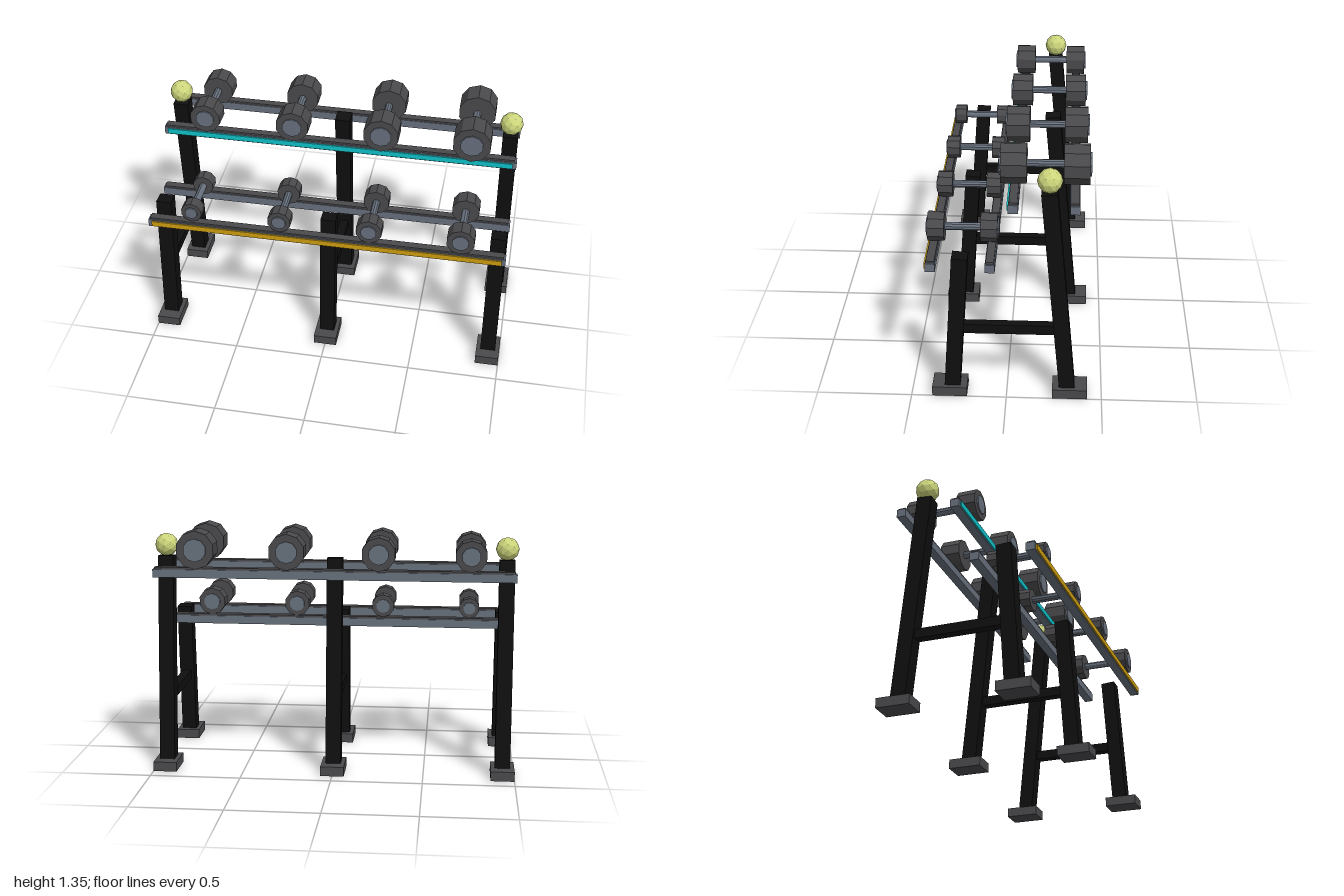
import * as THREE from 'three';

const mat = (name, color) => {
  const m = new THREE.MeshStandardMaterial({ color, flatShading: true });
  m.name = name;
  return m;
};

export function createModel() {
  const black = mat('blackFrame', 0x0f0f0f);
  const rubber = mat('darkRubber', 0x4a4a4d);
  const steel = mat('blueGreySteel', 0x68717e);
  const cyan = mat('cyanStripe', 0x10c4cc);
  const amber = mat('amberStripe', 0xcf9f10);
  const lime = mat('paleLime', 0xcdd67c);

  const root = new THREE.Group();
  root.name = 'dumbbellRack';

  const add = (parent, name, geometry, material, x, y, z) => {
    const mesh = new THREE.Mesh(geometry, material);
    mesh.name = name;
    mesh.position.set(x, y, z);
    parent.add(mesh);
    return mesh;
  };
  const group = (name) => {
    const g = new THREE.Group();
    g.name = name;
    root.add(g);
    return g;
  };
  const box = (w, h, d) => new THREE.BoxGeometry(w, h, d);

  // Leaning leg between two points in the y-z plane
  const leg = (parent, name, y0, z0, y1, z1) => {
    const mesh = add(parent, name, box(0.084, Math.hypot(y1 - y0, z1 - z0), 0.082), black,
      0, (y0 + y1) / 2, (z0 + z1) / 2);
    mesh.rotation.x = Math.atan2(z1 - z0, y1 - y0);
  };

  // Three A-shaped frames with feet
  for (const x of [-0.935, 0, 0.935]) {
    const frame = group('frame');
    frame.position.x = x;
    leg(frame, 'frontLeg', 0.02, 0.287, 0.817, 0.235);
    leg(frame, 'rearLeg', 0.02, -0.32, 1.187, -0.213);
    add(frame, 'crossBar', box(0.05, 0.052, 0.5), black, 0, 0.396, -0.015);
    add(frame, 'frontFoot', box(0.13, 0.053, 0.183), rubber, 0, 0.0265, 0.299);
    add(frame, 'rearFoot', box(0.13, 0.053, 0.183), rubber, 0, 0.0265, -0.332);
  }

  // Ball caps on the outer rear legs
  for (const x of [-0.935, 0.935]) {
    add(root, 'ballCap', new THREE.IcosahedronGeometry(0.064, 1), lime, x, 1.247, -0.214);
  }

  // Dumbbell lying along z, its heads growing outwards from a fixed grip length
  const dumbbell = (parent, x, y, z, radius, headLength) => {
    const d = new THREE.Group();
    d.name = 'dumbbell';
    d.position.set(x, y, z);
    parent.add(d);
    const rod = (name, r, length, material, cz) => {
      add(d, name, new THREE.CylinderGeometry(r, r, length, 10).rotateX(Math.PI / 2), material, 0, 0, cz);
    };
    const inner = 0.093;
    rod('grip', 0.021, inner * 2 + 0.02, steel, 0);
    for (const s of [-1, 1]) {
      rod('head', radius, headLength, rubber, s * (inner + headLength / 2));
      rod('endDisc', radius * 0.6, 0.012, steel, s * (inner + headLength + 0.002));
    }
  };

  const xs = [-0.74, -0.248, 0.246, 0.74];
  const tiers = [
    { name: 'upperTier', y: 1.087, zs: [-0.035, -0.34], z: -0.188, stripe: cyan,
      radii: [0.086, 0.092, 0.099, 0.105], lengths: [0.106, 0.113, 0.122, 0.131] },
    { name: 'lowerTier', y: 0.747, zs: [0.383, 0.082], z: 0.2325, stripe: amber,
      radii: [0.058, 0.065, 0.072, 0.077], lengths: [0.066, 0.073, 0.08, 0.087] },
  ];

  for (const t of tiers) {
    const tier = group(t.name);
    // Paired rails with rubber pads on top
    for (const z of t.zs) {
      add(tier, 'rail', box(1.97, 0.045, 0.05), steel, 0, t.y + 0.0225, z);
      add(tier, 'railPad', box(1.95, 0.011, 0.042), rubber, 0, t.y + 0.0505, z);
    }
    // Coloured stripe along the front rail
    add(tier, 'stripe', box(1.93, 0.031, 0.008), t.stripe, 0, t.y + 0.022, t.zs[0] + 0.0285);
    xs.forEach((x, i) => {
      dumbbell(tier, x, t.y + 0.054 + t.radii[i], t.z, t.radii[i], t.lengths[i]);
    });
  }

  return root;
}
